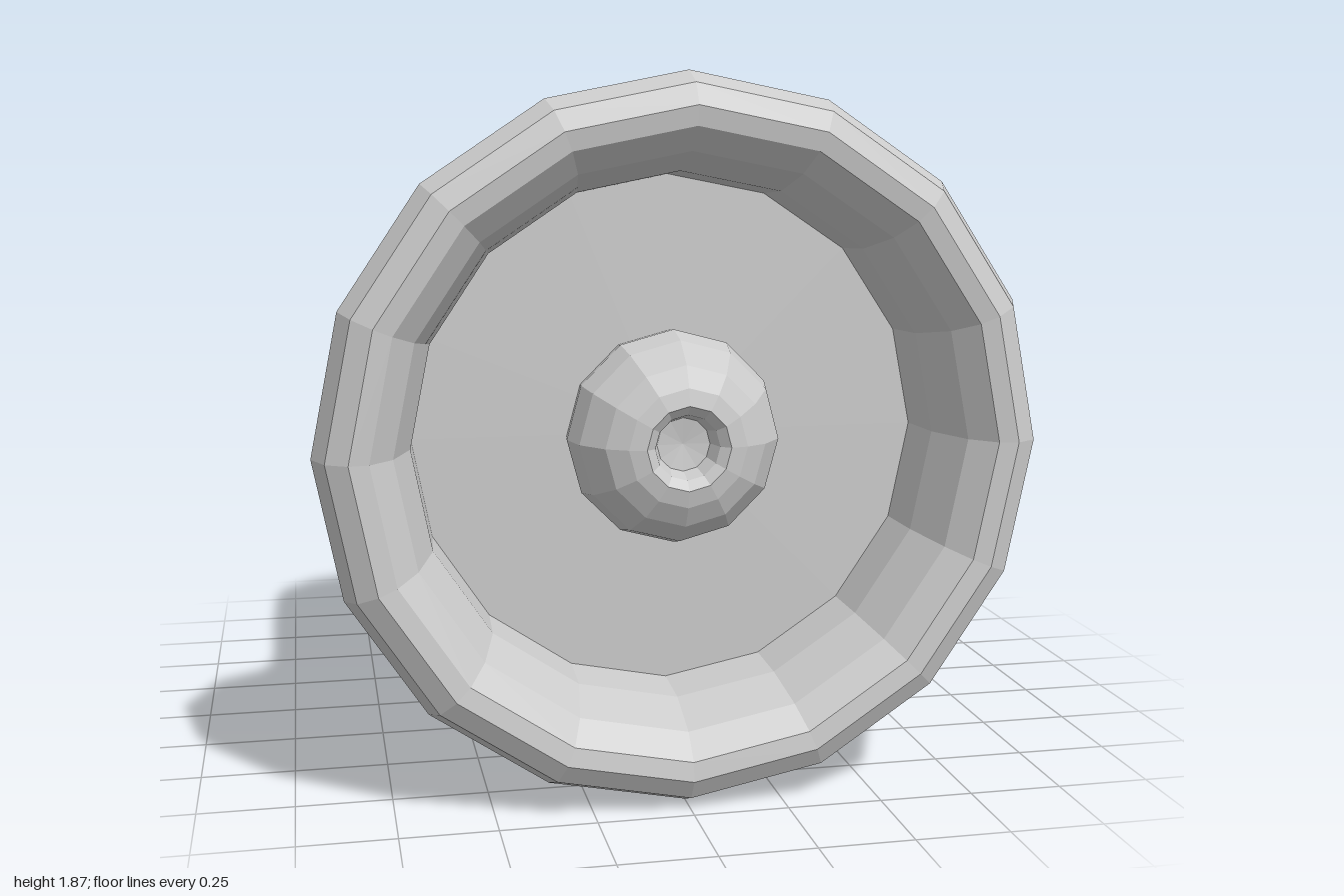
import * as THREE from 'three';
import { toCreasedNormals } from 'three/addons/utils/BufferGeometryUtils.js';

const AXIS_Y = 0.938;
const flat = new THREE.MeshStandardMaterial({ color: 0xcccccc, flatShading: true });
const smooth = new THREE.MeshStandardMaterial({ color: 0xcccccc });

// Solid of revolution about the z axis; profile is [radius, z] from back to front
function turned(name, profile, sides, crease = 0) {
  let geo = new THREE.LatheGeometry(profile.map(([r, z]) => new THREE.Vector2(r, z)), sides);
  geo.rotateX(Math.PI / 2);
  if (crease) geo = toCreasedNormals(geo, crease);
  const mesh = new THREE.Mesh(geo, crease ? smooth : flat);
  mesh.name = name;
  return mesh;
}

export function createModel() {
  const model = new THREE.Group();
  model.name = 'flangedCylinder';
  const core = new THREE.Group();
  core.name = 'turnedParts';
  core.position.y = AXIS_Y;
  model.add(core);

  // Main barrel with its annular back face
  const barrel = turned('barrel', [
    [0.3, -0.36], [0.69, -0.36], [0.69, 0.5],
  ], 20, 0.6);
  barrel.position.y = 0.008;
  core.add(barrel);

  // Raised collar, neck, and wide flange with a deep front recess
  core.add(turned('collar', [
    [0.68, 0.485], [0.715, 0.485], [0.715, 0.66], [0.69, 0.665],
  ], 16));
  core.add(turned('flange', [
    [0.698, 0.65], [0.695, 0.75], [0.705, 0.85], [0.735, 0.89], [0.937, 0.89],
    [0.905, 0.965], [0.85, 0.998], [0.8, 0.99], [0.74, 0.93], [0.69, 0.8], [0.68, 0.655],
  ], 16));

  // Recessed front plate with a hollow-tipped boss
  core.add(turned('frontPlate', [[0.69, 0.655], [0, 0.665]], 16));
  const boss = turned('centreBoss', [
    [0.28, 0.66], [0.285, 0.7], [0.265, 0.78], [0.21, 0.85], [0.155, 0.88],
    [0.11, 0.89], [0.085, 0.87], [0.07, 0.82], [0, 0.81],
  ], 12);
  boss.position.set(0.008, -0.008, 0);
  core.add(boss);

  // Rear stub and its base ring
  core.add(turned('rearRing', [
    [0.3, -0.425], [0.335, -0.425], [0.352, -0.36],
  ], 12));
  core.add(turned('rearStub', [
    [0, -1], [0.11, -0.997], [0.13, -0.975], [0.322, -0.965], [0.335, -0.36],
  ], 10));

  // Shallow ladder-shaped fitting wrapped around the left side
  const ladder = new THREE.Group();
  ladder.name = 'sideLadder';
  core.add(ladder);
  const bar = (name, angle, z, tall, deep) => {
    const mesh = new THREE.Mesh(new THREE.BoxGeometry(0.025, tall, deep), flat);
    mesh.name = name;
    mesh.position.set(0.681 * Math.cos(angle), 0.681 * Math.sin(angle), z);
    mesh.rotation.z = angle;
    ladder.add(mesh);
  };
  const steps = 8, start = -0.3, span = 1.04;
  for (let i = 0; i <= steps; i++) {
    const a = start + (span * i) / steps;
    bar('rung', a, -0.065, 0.025, 0.12);
    if (i < steps) {
      for (const z of [-0.015, -0.12]) bar('rail', a + span / steps / 2, z, 0.095, 0.02);
    }
  }

  // Dished round port below the ladder
  const port = turned('sidePort', [
    [0.15, -0.03], [0.13, 0.008], [0.105, 0.016], [0.07, 0.006], [0, 0.003],
  ], 12);
  const portAngle = -0.57;
  const out = new THREE.Vector3(Math.cos(portAngle), Math.sin(portAngle), 0);
  port.quaternion.setFromUnitVectors(new THREE.Vector3(0, 0, 1), out);
  port.position.copy(out).multiplyScalar(0.682);
  port.position.z = -0.065;
  core.add(port);

  return model;
}
